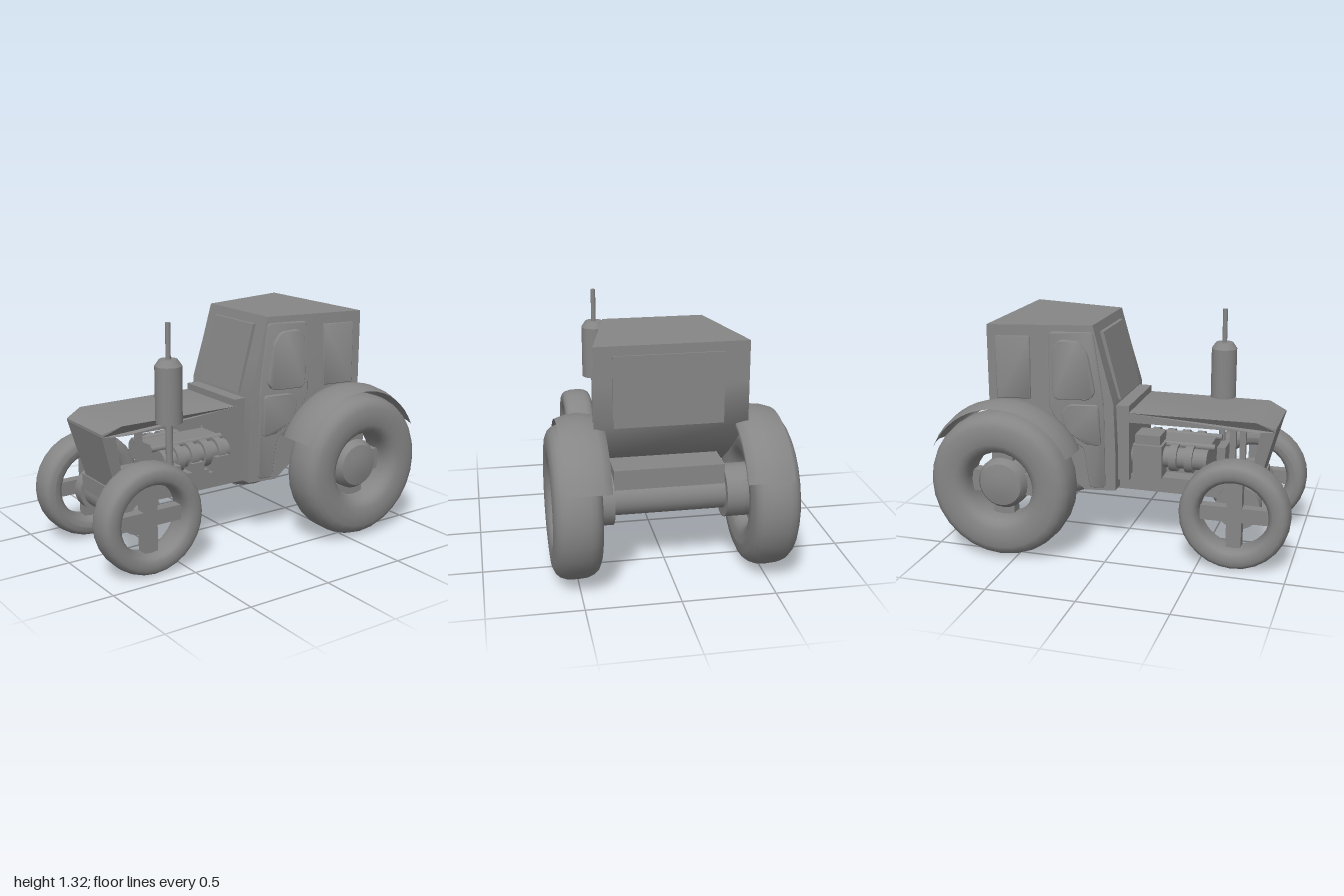
import * as THREE from 'three';
import { toCreasedNormals } from 'three/addons/utils/BufferGeometryUtils.js';

const mat = new THREE.MeshStandardMaterial({ color: 0x868686 });
const thin = new THREE.MeshStandardMaterial({ color: 0x868686, side: THREE.DoubleSide });

export function createModel() {
  const model = new THREE.Group();

  const add = (name, geo, x = 0, y = 0, z = 0, parent = model, material = mat) => {
    const m = new THREE.Mesh(geo, material);
    m.name = name;
    m.position.set(x, y, z);
    parent.add(m);
  };
  const box = (name, x0, x1, y0, y1, z0, z1, parent) =>
    add(name, new THREE.BoxGeometry(x1 - x0, y1 - y0, z1 - z0),
      (x0 + x1) / 2, (y0 + y1) / 2, (z0 + z1) / 2, parent);
  const rodZ = (name, r, x, y, z0, z1, parent) =>
    add(name, new THREE.CylinderGeometry(r, r, z1 - z0, 24).rotateX(Math.PI / 2), x, y, (z0 + z1) / 2, parent);
  const rodX = (name, r, x0, x1, y, z, parent) =>
    add(name, new THREE.CylinderGeometry(r, r, x1 - x0, 16).rotateZ(Math.PI / 2), (x0 + x1) / 2, y, z, parent);
  const rodY = (name, r0, r1, x, y0, y1, z) =>
    add(name, new THREE.CylinderGeometry(r1, r0, y1 - y0, 20), x, (y0 + y1) / 2, z);

  // Side outline extruded to unit width, then each point moved to half width w(x, y)
  const sideProfile = (pts, w) => {
    const shape = new THREE.Shape(pts.map(p => new THREE.Vector2(...p)));
    const g = new THREE.ExtrudeGeometry(shape, { depth: 2, bevelEnabled: false }).translate(0, 0, -1);
    const p = g.attributes.position;
    for (let i = 0; i < p.count; i++) p.setZ(i, p.getZ(i) * w(p.getX(i), p.getY(i)));
    return toCreasedNormals(g, 0.5);
  };

  // Surface through a grid of points, rows x columns
  const grid = (rows, closed) => {
    const n = rows[0].length, idx = [];
    for (let r = 0; r < rows.length - 1; r++)
      for (let c = 0; c < (closed ? n : n - 1); c++) {
        const a = r * n + c, b = r * n + (c + 1) % n;
        idx.push(a, b, b + n, a, b + n, a + n);
      }
    const g = new THREE.BufferGeometry();
    g.setAttribute('position', new THREE.Float32BufferAttribute(rows.flat(2), 3));
    if (closed) for (let k = 1; k < n / 2; k++) { // floor and roof strips
      const top = (rows.length - 1) * n;
      const a = k - 1, b = k, c = n - 1 - k, d = n - k;
      idx.push(a, d, c, a, c, b, top + a, top + b, top + c, top + a, top + c, top + d);
    }
    g.setIndex(idx);
    g.computeVertexNormals();
    return g;
  };

  // Cab: widens to the rear, narrower at the front of the roof
  const cabW = (x, y) => {
    const t = THREE.MathUtils.clamp((y - 0.86) / 0.43, 0, 1);
    return THREE.MathUtils.lerp(0.29 + 0.163 * x, 0.25 + 0.22 * x, t);
  };
  const rows = [[0.35, 0, 0.17], [0.6, 0, 0.46], [0.86, 0.01, 0.7], [1.08, 0.073, 0.7], [1.29, 0.13, 0.7]];
  const rings = rows.map(([y, xf, xb]) => {
    const side = [];
    for (let i = 0; i <= 6; i++) {
      const x = xf + (xb - xf) * i / 6;
      side.push([x, y, cabW(x, y)]);
    }
    return [...side, ...side.slice().reverse().map(([x, yy, z]) => [x, yy, -z])];
  });
  add('cab', toCreasedNormals(grid(rings, true), 0.9));
  box('rearWindow', 0.69, 0.71, 0.86, 1.24, -0.272, 0.305);

  // Windscreen leans back with the cab front
  add('windscreen', sideProfile([[-0.005, 0.86], [0.095, 1.24], [0.13, 1.24], [0.03, 0.86]], () => 0.19));

  // Raised panels that follow the cab side
  const panel = (name, pts, depth, corner, parent) => {
    const n = pts.length, shape = new THREE.Shape();
    pts.forEach((p, i) => { // rounded corners
      const v = new THREE.Vector2(...p);
      const toward = q => v.clone().add(new THREE.Vector2(...q).sub(v).setLength(corner));
      const a = toward(pts[(i + n - 1) % n]), b = toward(pts[(i + 1) % n]);
      if (i) shape.lineTo(a.x, a.y); else shape.moveTo(a.x, a.y);
      shape.quadraticCurveTo(v.x, v.y, b.x, b.y);
    });
    const g = new THREE.ExtrudeGeometry(shape, {
      depth, bevelEnabled: true, bevelSize: 0.004, bevelThickness: 0.004, bevelSegments: 1, curveSegments: 4 });
    const p = g.attributes.position;
    for (let i = 0; i < p.count; i++) p.setZ(i, p.getZ(i) + cabW(p.getX(i), p.getY(i)));
    add(name, toCreasedNormals(g, 0.8), 0, 0, 0, parent);
  };

  // Tyre with a rounded square section
  const tyre = (outer, inner, half) => {
    const pts = [], mid = (outer + inner) / 2, a = (outer - inner) / 2;
    const pw = v => Math.sign(v) * Math.abs(v) ** 0.72;
    for (let i = 0; i <= 20; i++) {
      const t = -Math.PI / 2 + i / 20 * Math.PI * 2;
      pts.push(new THREE.Vector2(mid + a * pw(Math.cos(t)), half * pw(Math.sin(t))));
    }
    return new THREE.LatheGeometry(pts, 28).rotateX(Math.PI / 2);
  };
  const spokes = (x, y, z0, z1, len, w, parent) => {
    box('spoke', x - len, x + len, y - w, y + w, z0, z1, parent);
    box('spoke', x - w, x + w, y - len, y + len, z0, z1, parent);
  };

  // Everything that exists on both sides
  for (const s of [1, -1]) {
    const side = new THREE.Group();
    side.name = s > 0 ? 'leftSide' : 'rightSide';
    side.scale.z = s;
    model.add(side);

    add('frontTyre', tyre(0.307, 0.19, 0.09), -0.695, 0.31, 0.345, side);
    spokes(-0.695, 0.31, 0.31, 0.37, 0.205, 0.042, side);
    rodZ('frontHub', 0.125, -0.695, 0.31, 0.19, 0.26, side);
    rodZ('frontStub', 0.05, -0.695, 0.31, 0.25, 0.35, side);

    add('rearTyre', tyre(0.414, 0.185, 0.128), 0.58, 0.425, 0.512, side);
    spokes(0.58, 0.425, 0.46, 0.53, 0.205, 0.062, side);
    rodZ('rearAxleFlange', 0.145, 0.58, 0.425, 0.3, 0.4, side);
    const hub = [[0.145, 0.38], [0.145, 0.535], [0.12, 0.57], [0.06, 0.583], [0, 0.586]];
    add('rearHub', toCreasedNormals(new THREE.LatheGeometry(hub.map(p => new THREE.Vector2(...p)), 24)
      .rotateX(Math.PI / 2), 0.7), 0.58, 0.425, 0, side);

    // Crowned fender arc
    const section = [[0.345, 0.40], [0.345, 0.425], [0.39, 0.445], [0.46, 0.458], [0.53, 0.45], [0.585, 0.432]];
    const arc = [];
    for (let i = 0; i <= 18; i++) {
      const t = THREE.MathUtils.degToRad(25 + i * 130 / 18);
      arc.push(section.map(([z, r]) => [0.58 + r * Math.cos(t), 0.43 + r * Math.sin(t), z]));
    }
    add('fender', grid(arc, false), 0, 0, 0, side, thin);

    panel('door', [[0.06, 0.37], [0.14, 0.37], [0.17, 0.6], [0.27, 0.66], [0.36, 0.84], [0.36, 1.25],
      [0.13, 1.25], [0.065, 0.86]], 0.004, 0.02, side);
    panel('doorWindow', [[0.11, 0.92], [0.14, 0.885], [0.325, 0.885], [0.335, 0.95], [0.335, 1.17],
      [0.3, 1.21], [0.2, 1.2], [0.155, 1.14]], 0.022, 0.02, side);
    panel('doorLowerPanel', [[0.08, 0.62], [0.16, 0.63], [0.26, 0.7], [0.29, 0.8], [0.25, 0.85], [0.09, 0.85]],
      0.018, 0.02, side);
    panel('rearSideWindow', [[0.47, 0.88], [0.65, 0.88], [0.65, 1.225], [0.47, 1.225]], 0.004, 0.003, side);

    // Engine details
    rodX('engineCylinder', 0.06, -0.5, -0.06, 0.53, 0.14, side);
    for (let i = 0; i < 4; i++) rodX('engineRing', 0.078, -0.42 + i * 0.09, -0.375 + i * 0.09, 0.53, 0.14, side);
    rodX('engineRail', 0.018, -0.53, -0.06, 0.595, 0.1, side);
    box('hoodPost', -0.66, -0.625, 0.42, 0.75, 0.15, 0.18, side);
  }

  // Axles
  rodZ('frontAxle', 0.1, -0.695, 0.31, -0.2, 0.2);
  rodZ('rearAxle', 0.1, 0.58, 0.43, -0.31, 0.31);
  box('rearCrossBar', 0.43, 0.655, 0.49, 0.605, -0.297, 0.297);

  // Chassis, hood and grille
  box('chassis', -0.8, 0.15, 0.335, 0.425, -0.2, 0.2);
  box('engineBlock', -0.5, -0.06, 0.42, 0.6, -0.1, 0.1);
  add('hood', sideProfile([[-0.88, 0.745], [-0.78, 0.745], [-0.05, 0.745], [-0.05, 0.8], [-0.78, 0.8], [-0.88, 0.76]],
    x => x < -0.8 ? 0.2 : 0.245 + 0.01 * x));
  add('grille', sideProfile([[-0.88, 0.75], [-0.79, 0.42], [-0.74, 0.42], [-0.8, 0.75]],
    (x, y) => 0.2 - (0.75 - y) * 0.08));
  box('firewall', -0.065, 0.01, 0.4, 0.838, -0.24, 0.24);

  // Engine boxes
  box('airBox', -0.235, -0.09, 0.61, 0.665, -0.2, -0.06);
  box('batteryBox', -0.25, -0.08, 0.42, 0.61, -0.22, -0.1);
  box('pumpBase', -0.37, -0.23, 0.42, 0.46, 0.1, 0.23);
  box('pump', -0.34, -0.26, 0.46, 0.51, 0.1, 0.23);
  box('filter', -0.18, -0.09, 0.42, 0.52, 0.1, 0.23);
  box('exhaustManifold', -0.55, -0.44, 0.42, 0.53, 0.1, 0.27);

  // Exhaust
  rodY('exhaustLowerPipe', 0.02, 0.02, -0.5, 0.5, 0.79, 0.25);
  rodY('muffler', 0.074, 0.074, -0.5, 0.78, 1.09, 0.25);
  rodY('mufflerCone', 0.074, 0.05, -0.5, 1.09, 1.125, 0.25);
  rodY('exhaustTip', 0.014, 0.014, -0.5, 1.12, 1.32, 0.25);

  return model;
}
